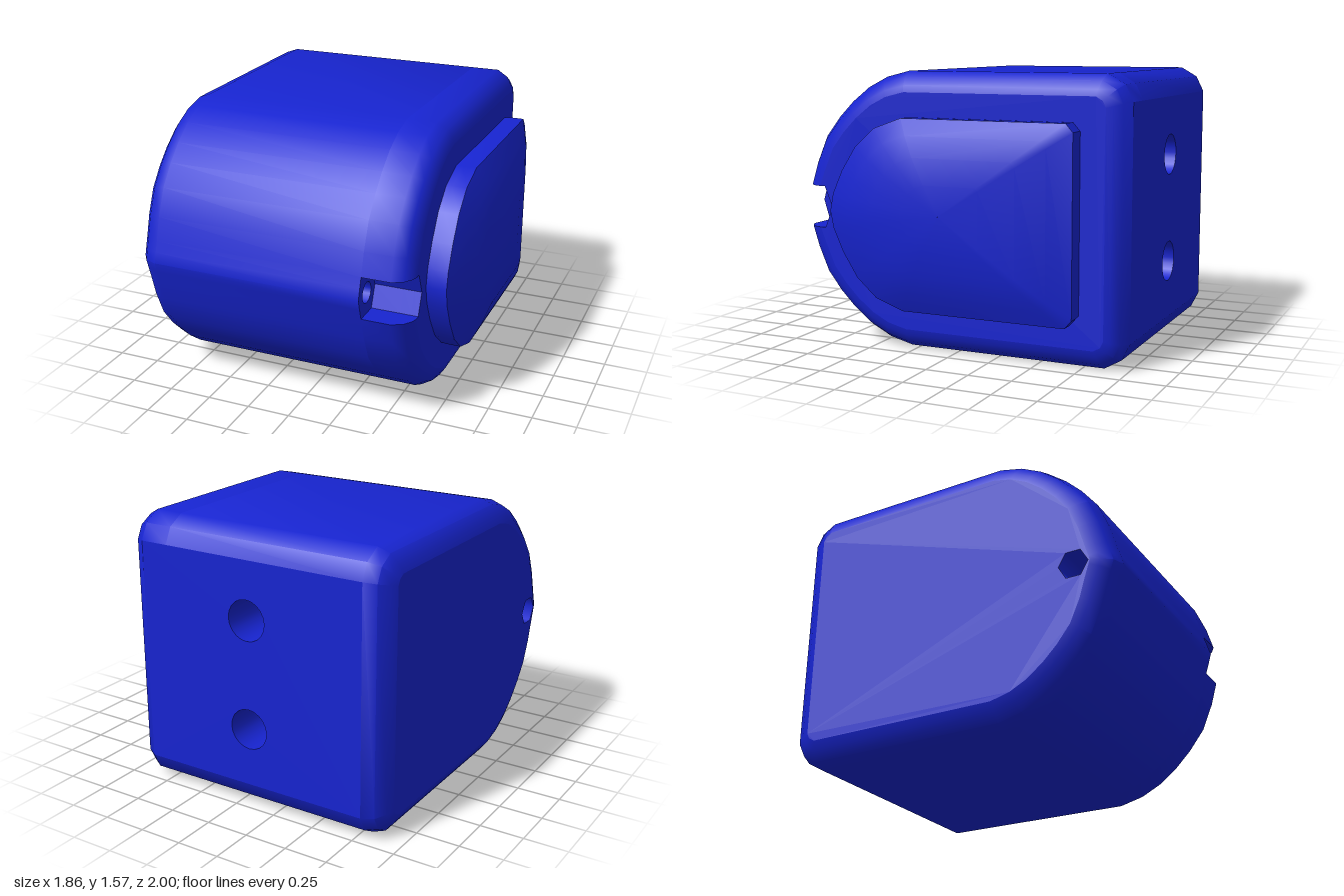
import * as THREE from 'three';
import { toCreasedNormals } from 'three/addons/utils/BufferGeometryUtils.js';

const MID = 0.785; // height of the horizontal symmetry plane
const material = new THREE.MeshStandardMaterial({ color: 0x1724d0 });
const inner = new THREE.MeshStandardMaterial({ color: 0x1724d0, side: THREE.BackSide });

// Full outline in [z, y - MID]: the upper half from back to nose, then mirrored.
function mirrorOutline(half) {
  const lower = half.slice(0, -1).reverse().map(([z, y]) => [z, -y]);
  return [...half, ...lower];
}

const bodyOutline = mirrorOutline([
  [-1, 0.64], [-0.955, 0.73], [-0.86, 0.785], [0.31, 0.785], [0.45, 0.75], [0.57, 0.69], [0.68, 0.605],
  [0.77, 0.515], [0.86, 0.4], [0.925, 0.25], [0.963, 0.12], [0.982, 0.06], [1, 0],
]);
const panelOutline = mirrorOutline([
  [-0.75, 0.49], [-0.71, 0.535], [0.25, 0.535], [0.42, 0.475], [0.54, 0.37], [0.63, 0.23], [0.69, 0.1], [0.71, 0],
]);
const NOSE = 12; // index of the foremost outline point

// Moves every outline point inwards along its mitred corner normal.
function inset(outline, d) {
  const n = outline.length;
  const normal = (p, q) => {
    const [dz, dy] = [q[0] - p[0], q[1] - p[1]], l = Math.hypot(dz, dy);
    return [-dy / l, dz / l];
  };
  return outline.map((p, i) => {
    const a = normal(outline[(i + n - 1) % n], p), b = normal(p, outline[(i + 1) % n]);
    const k = d / (1 + a[0] * b[0] + a[1] * b[1]);
    const s = [a[0] + b[0], a[1] + b[1]];
    return [p[0] - s[0] * k, p[1] - s[1] * k].map((v, j) => (Math.abs(d) < 1e-6 ? p[j] : v));
  });
}

// Cuts the half-hexagon pocket into the nose of an outline.
function notch(outline) {
  const o = outline.map((p) => [...p]);
  o[NOSE - 2][1] = 0.12;
  o[NOSE + 2][1] = -0.12;
  o[NOSE - 1] = [0.82, 0.12];
  o[NOSE] = [0.77, 0];
  o[NOSE + 1] = [0.82, -0.12];
  return o;
}

// Skin between outlines placed along x; skip(ring, segment) leaves an opening.
function loft(rings, skip = () => false) {
  const pos = [];
  const put = (r, i) => pos.push(r.x, r.o[i][1] + MID, r.o[i][0]);
  for (let k = 0; k + 1 < rings.length; k++) {
    const [r, s] = [rings[k], rings[k + 1]], n = r.o.length;
    for (let i = 0; i < n; i++) {
      if (skip(k, i)) continue;
      const j = (i + 1) % n;
      put(r, i); put(r, j); put(s, j);
      put(r, i); put(s, j); put(s, i);
    }
  }
  const g = new THREE.BufferGeometry();
  g.setAttribute('position', new THREE.Float32BufferAttribute(pos, 3));
  return g;
}

// Flat end face at x, looking along side (+1 or -1), with optional holes.
function endFace(outline, x, side, holes = []) {
  const shape = new THREE.Shape(outline.map(([z, y]) => new THREE.Vector2(-side * z, y)));
  for (const [z, y, r, sides] of holes) shape.holes.push(circle(-side * z, y, r, sides));
  return new THREE.ShapeGeometry(shape).rotateY(side * Math.PI / 2).translate(x, MID, 0);
}

function circle(u, v, r, sides) {
  const pts = [];
  for (let i = 0; i < sides; i++) {
    const a = (i / sides) * Math.PI * 2;
    pts.push(new THREE.Vector2(u + r * Math.cos(a), v + r * Math.sin(a)));
  }
  return new THREE.Path(pts);
}

// Inside of a blind hole: local mouth at z = 0, running to -depth.
function bore(name, r, sides, depth) {
  const g = new THREE.Group();
  g.name = name;
  const wall = new THREE.CylinderGeometry(r, r, depth, sides, 1, true)
    .rotateX(Math.PI / 2).rotateZ(Math.PI / 2).translate(0, 0, -depth / 2);
  const floor = new THREE.CircleGeometry(r, sides).translate(0, 0, -depth);
  g.add(new THREE.Mesh(wall, inner), new THREE.Mesh(floor, material));
  return g;
}

export function createModel() {
  const model = new THREE.Group();
  const add = (name, geometry) => {
    const m = new THREE.Mesh(geometry, material);
    m.name = name;
    model.add(m);
  };

  // Main housing: rounded ends, nose pocket on the +x side, open back strip
  const last = bodyOutline.length - 1;
  const left = [[-0.93, 0.125], [-0.912, 0.08], [-0.87, 0.025], [-0.8, 0], [0.42, 0]]
    .map(([x, d]) => ({ x, o: inset(bodyOutline, d) }));
  const right = [[0.42, 0], [0.585, 0], [0.645, 0.035], [0.675, 0.08], [0.685, 0.115]]
    .map(([x, d]) => ({ x, o: notch(inset(bodyOutline, d)) }));
  add('housing', toCreasedNormals(loft(left, (k, i) => k === 3 && i === last), 0.6));
  add('housingPocketSide', toCreasedNormals(loft(right, (k, i) => k === 0 && i === last), 0.6));
  add('plainEnd', endFace(left[0].o, -0.93, -1, [[0.775, 0, 0.085, 6]]));
  add('panelEnd', endFace(right[4].o, 0.685, 1));

  // Pocket floor with a screw hole
  const floor = [
    ...bodyOutline.slice(NOSE - 2, NOSE + 3),
    [0.82, -0.12], [0.77, 0], [0.82, 0.12],
  ];
  add('pocketFloor', endFace(floor, 0.42, 1, [[0.885, 0, 0.06, 12]]));
  const screwHole = bore('screwHole', 0.06, 12, 0.35);
  screwHole.rotation.y = Math.PI / 2;
  screwHole.position.set(0.42, MID, 0.885);
  const nutHole = bore('nutHole', 0.085, 6, 0.25);
  nutHole.rotation.y = -Math.PI / 2;
  nutHole.position.set(-0.93, MID, 0.775);
  model.add(screwHole, nutHole);

  // Back face with two mounting holes
  const plate = new THREE.Shape([[-0.585, -0.64], [0.8, -0.64], [0.8, 0.64], [-0.585, 0.64]]
    .map(([u, v]) => new THREE.Vector2(u, v)));
  for (const v of [-0.31, 0.31]) {
    plate.holes.push(circle(0.1, v, 0.115, 20));
    const hole = bore('mountingHole', 0.115, 20, 0.3);
    hole.rotation.y = Math.PI;
    hole.position.set(-0.1, MID + v, -1);
    model.add(hole);
  }
  add('backFace', new THREE.ShapeGeometry(plate).rotateY(Math.PI).translate(0, MID, -1));

  // Raised side panel with a shallow domed cover
  const panelRing = ([x, s]) => ({
    x, o: panelOutline.map(([z, y]) => [-0.04 + (z + 0.04) * s, 0.03 * (1 - s) + y * s]),
  });
  add('sidePanelWall', toCreasedNormals(loft([[0.6, 0.985], [0.72, 1], [0.8, 1]].map(panelRing)), 0.6));
  add('sidePanelDome', toCreasedNormals(
    loft([[0.8, 1], [0.85, 0.82], [0.893, 0.6], [0.918, 0.32], [0.93, 0.001]].map(panelRing)), 0.6));
  return model;
}
